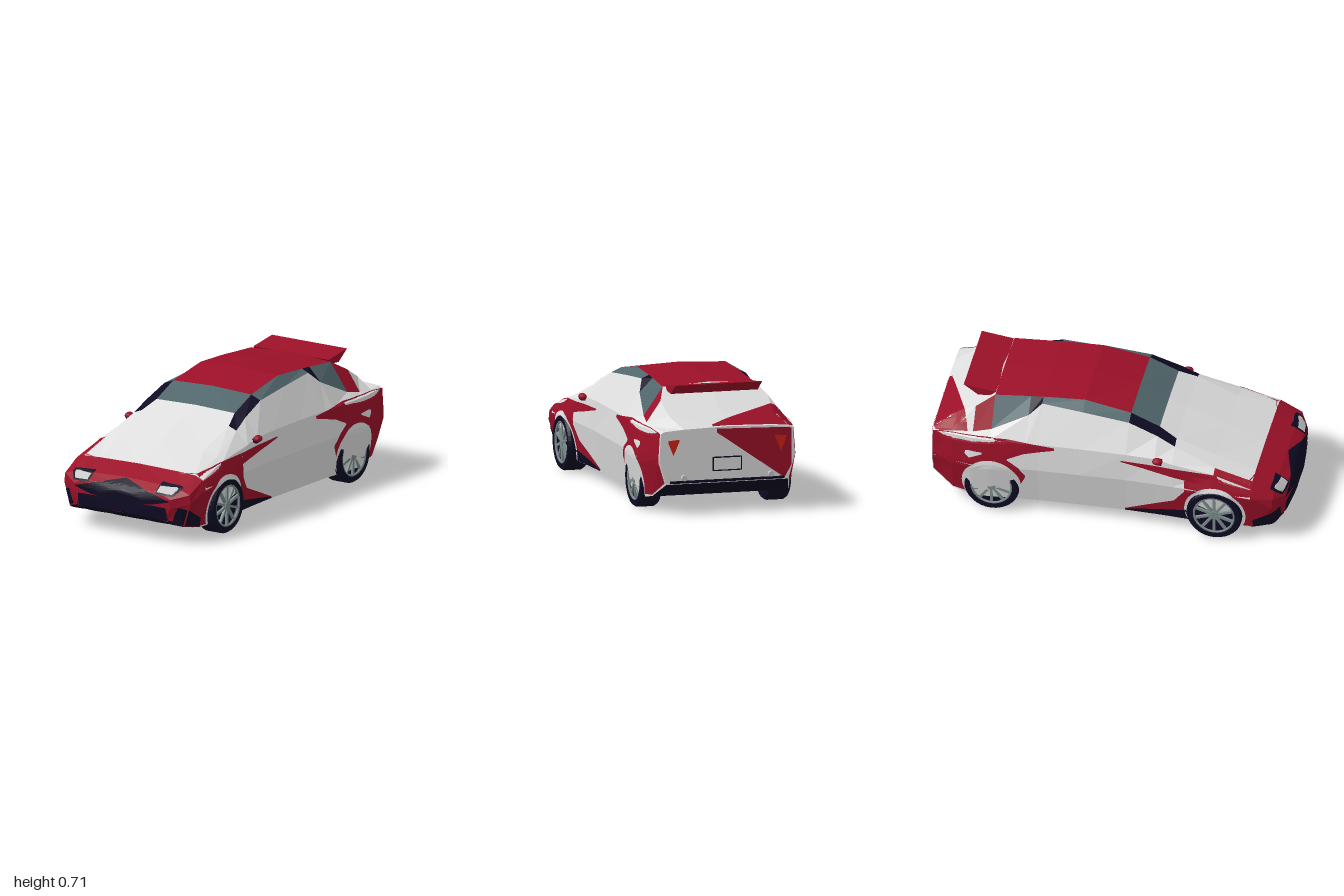
import * as THREE from 'three';

const mat = (name, color) => new THREE.MeshStandardMaterial({ name, color, side: THREE.DoubleSide });

// Body stations: z, half width, then shoulder (y, x), window base (y, x), roof edge (y, x), centre height
const STATIONS = [
  [1.0, .14, .23, .13, .24, .1, .25, .06, .255],
  [.98, .32, .25, .32, .27, .27, .28, .2, .285],
  [.93, .42, .28, .415, .3, .36, .31, .28, .32],
  [.81, .44, .34, .42, .36, .37, .365, .26, .37],
  [.6, .446, .4, .41, .42, .37, .44, .28, .45],
  [.37, .43, .44, .415, .51, .34, .53, .29, .54],
  [.27, .425, .46, .41, .56, .33, .575, .26, .582],
  [.11, .42, .465, .41, .62, .32, .645, .26, .655],
  [-.15, .425, .465, .41, .645, .31, .693, .255, .706],
  [-.38, .43, .465, .415, .664, .3, .682, .26, .697],
  [-.45, .435, .465, .42, .6, .335, .676, .26, .69],
  [-.65, .45, .465, .425, .505, .375, .66, .265, .675],
  [-.75, .45, .465, .425, .485, .39, .6, .31, .615],
  [-.86, .43, .465, .41, .475, .385, .535, .3, .55],
  [-.98, .39, .455, .38, .465, .36, .473, .25, .48],
];

// Full closed cross-section, counter-clockwise seen from the front; the floor curves up at both ends
function ring([z, xw, ys, xs, yg, xg, yr, xr, yc]) {
  const yb = .07 + 1.9 * Math.max(0, z - .81, -z - .75) ** 2;
  const half = [[xw - .04, yb], [xw, Math.min(.3, ys - .05)], [xs, ys], [xg, yg], [xr, yr]];
  const pts = [[0, yb], ...half, [0, yc], ...half.slice().reverse().map(([x, y]) => [-x, y])];
  return pts.map(([x, y]) => new THREE.Vector3(x, y, z));
}

// Colour of a body facet by its band (0 floor ... 5 roof) and station interval
function facetColour(band, i, left) {
  const z = STATIONS[i][0];
  if (band === 0) return 'dark';
  if (z > .82) return 'red';
  if (band === 5) return z > .12 ? (z < .3 ? 'glass' : 'white') : z > -.6 ? 'red' : 'white';
  if (band === 4) {
    if (z > .4) return 'white';
    if (z > .2 || z === -.38) return 'dark';
    return z > -.6 ? 'glass' : z > -.7 ? 'red' : 'white';
  }
  if (band === 3 && z > .7 && !left) return 'red';
  return 'white';
}

function flatGeometry(points) {
  const g = new THREE.BufferGeometry().setFromPoints(points);
  g.computeVertexNormals();
  return g;
}

export function createModel() {
  const car = new THREE.Group();
  car.name = 'sportsCar';
  const M = {
    red: mat('red paint', 0x9c1028), white: mat('white paint', 0xdedede),
    dark: mat('dark trim', 0x0d0a22), glass: mat('tinted glass', 0x50666b),
    silver: mat('silver', 0xc4c6c8), rim: mat('rim grey', 0x7c8c8c),
    lamp: mat('tail lamp red', 0xd42016),
  };
  const add = (name, geo, m, parent = car) => {
    const mesh = new THREE.Mesh(geo, m);
    mesh.name = name;
    parent.add(mesh);
    return mesh;
  };

  // Body shell, lofted and split by colour
  const tris = { red: [], white: [], dark: [], glass: [] };
  const rings = STATIONS.map(ring);
  const n = rings[0].length;
  for (let i = 0; i < rings.length - 1; i++) {
    for (let j = 0; j < n; j++) {
      const k = (j + 1) % n;
      const a = rings[i][j], b = rings[i][k], c = rings[i + 1][k], d = rings[i + 1][j];
      const left = j < n / 2;
      tris[facetColour(left ? j : n - 1 - j, i, left)].push(a, d, c, a, c, b);
    }
  }
  const last = rings[rings.length - 1];
  const noseMid = new THREE.Vector3(0, .2, 1), tailMid = new THREE.Vector3(0, .32, -.98);
  for (let j = 0; j < n; j++) {
    const k = (j + 1) % n;
    tris.red.push(noseMid, rings[0][j], rings[0][k]);
    tris.white.push(tailMid, last[k], last[j]);
  }
  const names = { red: 'roofAndNose', white: 'bodyShell', dark: 'floorAndPillars', glass: 'windows' };
  const shell = Object.keys(tris).map((c) => add(names[c], flatGeometry(tris[c]), M[c]));

  // Thin painted panel laid on the shell; columns are [u, low, high] seen along the given side
  const caster = new THREE.Raycaster();
  const views = {
    left: (u, v) => [[2, v, u], [-1, 0, 0]], right: (u, v) => [[-2, v, u], [1, 0, 0]],
    front: (u, v) => [[u, v, 2], [0, 0, -1]], back: (u, v) => [[u, v, -2], [0, 0, 1]],
    top: (u, v) => [[u, 2, v], [0, -1, 0]],
  };
  function project(side, u, v, layer) {
    const [o, d] = views[side](u, v);
    const dir = new THREE.Vector3(...d);
    caster.set(new THREE.Vector3(...o), dir);
    const hit = caster.intersectObjects(shell)[0];
    if (!hit) return null;
    const normal = hit.face.normal.clone();
    if (normal.dot(dir) > 0) normal.negate();
    return hit.point.addScaledVector(normal, .003 * layer);
  }
  function panel(name, side, m, columns, layer = 1) {
    const grid = [];
    const rows = 10;
    for (let i = 0; i < columns.length - 1; i++) {
      const [p, q] = [columns[i], columns[i + 1]];
      const steps = Math.max(1, Math.ceil(Math.abs(q[0] - p[0]) / .03));
      for (let s = i ? 1 : 0; s <= steps; s++) {
        const [u, lo, hi] = p.map((v, e) => THREE.MathUtils.lerp(v, q[e], s / steps));
        grid.push(Array.from({ length: rows + 1 }, (_, r) => project(side, u, lo + (hi - lo) * r / rows, layer)));
      }
    }
    // keep corners turned outward on every side
    const rising = columns[1][0] > columns[0][0];
    const outward = rising === (side === 'front' || side === 'right');
    const pts = [];
    for (let i = 0; i < grid.length - 1; i++) {
      for (let r = 0; r < rows; r++) {
        const [a, b, c, d] = [grid[i][r], grid[i + 1][r], grid[i + 1][r + 1], grid[i][r + 1]];
        if (!(a && b && c && d)) continue;
        if (outward) pts.push(a, b, c, a, c, d);
        else pts.push(a, c, b, a, d, c);
      }
    }
    add(name, flatGeometry(pts), m);
  }
  const disc = (z, y, r) => Array.from({ length: 25 }, (_, i) => {
    const a = Math.PI * i / 24, h = r * Math.sin(a);
    return [z - r * Math.cos(a), Math.max(.08, y - h), y + h + .001];
  });

  // Side paintwork, the same on both flanks
  for (const side of ['left', 'right']) {
    panel('frontFender', side, M.red, [[.82, .08, .36], [.6, .08, .4], [.44, .08, .41]]);
    panel('fenderTongue', side, M.red, [[.44, .35, .41], [.3, .375, .418], [.08, .418, .425]]);
    panel('fenderFoot', side, M.red, [[.44, .08, .28], [.38, .08, .2], [.1, .08, .085]]);
    panel('sillTrim', side, M.dark, [[.47, .075, .145], [.1, .075, .085]], 2);
    panel('noseSideTrim', side, M.dark, [[.96, .13, .21], [.92, .1, .19], [.82, .08, .13]], 2);
    panel('rearFender', side, M.red, [[-.29, .44, .455], [-.46, .4, .47], [-.55, .36, .478],
      [-.57, .2, .478], [-.72, .09, .475], [-.86, .1, .47], [-.975, .18, .455]]);
    panel('rearFenderFinger', side, M.red, [[-.45, .245, .255], [-.49, .16, .31], [-.57, .16, .365]]);
    panel('frontArch', side, M.white, disc(.61, .155, .172), 2);
    panel('rearArch', side, M.white, disc(-.64, .175, .165), 2);
    panel('rearVent', side, M.white, [[-.69, .375, .385], [-.76, .345, .39], [-.785, .365, .385]], 2);
  }

  // Nose: grille, lower intake and lamps
  panel('upperGrille', 'front', M.dark, [[-.31, .235, .24], [-.2, .21, .27], [0, .2, .317], [.2, .21, .27], [.31, .235, .24]]);
  panel('lowerIntake', 'front', M.dark, [[-.39, .08, .1], [-.3, .08, .13], [-.29, .08, .2], [0, .1, .215],
    [.29, .08, .2], [.3, .08, .13], [.39, .08, .12]]);
  for (const s of [-1, 1]) {
    const mirrored = (columns) => columns.map(([x, lo, hi]) => [x * s, lo, hi]);
    panel('headlightFrame', 'front', M.dark, mirrored([[.22, .27, .323], [.33, .264, .316], [.36, .3, .312]]));
    panel('headlight', 'front', M.silver, mirrored([[.23, .278, .305], [.32, .273, .308], [.34, .295, .305]]), 2);
    panel('tailLight', 'back', M.lamp, mirrored([[.275, .41, .42], [.31, .33, .417], [.34, .405, .415]]), 2);
  }

  // Tail: red corner, bumper trim, plate frame
  panel('tailCorner', 'back', M.red, [[-.37, .25, .455], [-.33, .18, .46], [.06, .45, .47]]);
  panel('hatchCorner', 'top', M.red, [[-.39, -.95, -.78], [-.36, -.975, -.79], [.08, -.975, -.96]]);
  panel('rearBumperTrim', 'back', M.dark, [[-.33, .175, .19], [.33, .175, .19]], 2);
  panel('plateFrame', 'back', M.dark, [[-.085, .235, .315], [.085, .235, .315]], 2);
  panel('plate', 'back', M.white, [[-.078, .242, .308], [.078, .242, .308]], 3);

  // Spoiler wedge
  const wing = new THREE.Shape([[.65, .668], [.83, .693], [.75, .635], [.68, .64]].map(([x, y]) => new THREE.Vector2(x, y)));
  const wingGeo = new THREE.ExtrudeGeometry(wing, { depth: .5, bevelEnabled: false });
  wingGeo.rotateY(Math.PI / 2).translate(-.25, 0, 0);
  add('spoiler', wingGeo, M.red);

  // Mirrors and exhausts
  for (const s of [-1, 1]) {
    const mirror = add('mirror', new THREE.SphereGeometry(1, 10, 6), M.red);
    mirror.scale.set(.024, .02, .03);
    mirror.position.set(s * .428, .46, .29);
    add('mirrorStalk', new THREE.BoxGeometry(.05, .022, .025), M.dark).position.set(s * .41, .45, .3);
    const pipe = add('exhaust', new THREE.CylinderGeometry(.016, .016, .04, 12), M.silver);
    pipe.rotation.x = Math.PI / 2;
    pipe.position.set(s * .25, .205, -.98);
  }

  // Wheels, built about the y axis with the outer face at +y
  const tyreProfile = [[.115, -.06], [.145, -.06], [.155, -.045], [.155, .045], [.145, .06], [.118, .06], [.115, .04], [.115, -.06]]
    .map(([x, y]) => new THREE.Vector2(x, y));
  const tyreGeo = new THREE.LatheGeometry(tyreProfile, 32).toNonIndexed();
  tyreGeo.computeVertexNormals();
  const backGeo = new THREE.CylinderGeometry(.116, .116, .07, 28);
  const ringGeo = new THREE.TorusGeometry(.113, .007, 6, 32).rotateX(Math.PI / 2);
  const hubGeo = new THREE.CylinderGeometry(.024, .028, .02, 16);
  const spokeGeo = new THREE.BoxGeometry(.1, .014, .014).translate(.062, 0, 0);
  for (const [name, z, x] of [['frontWheel', .61, .393], ['rearWheel', -.64, .372]]) {
    for (const s of [-1, 1]) {
      const wheel = new THREE.Group();
      wheel.name = name;
      add('tyre', tyreGeo, M.dark, wheel);
      add('wheelBack', backGeo, M.dark, wheel);
      add('rimRing', ringGeo, M.rim, wheel).position.y = .052;
      add('hub', hubGeo, M.rim, wheel).position.y = .048;
      for (let k = 0; k < 10; k++) {
        const spoke = add('spoke', spokeGeo, M.rim, wheel);
        spoke.position.y = .047;
        spoke.rotation.y = k * Math.PI / 5;
      }
      wheel.rotation.z = -s * Math.PI / 2;
      wheel.position.set(s * x, .155, z);
      car.add(wheel);
    }
  }
  return car;
}
